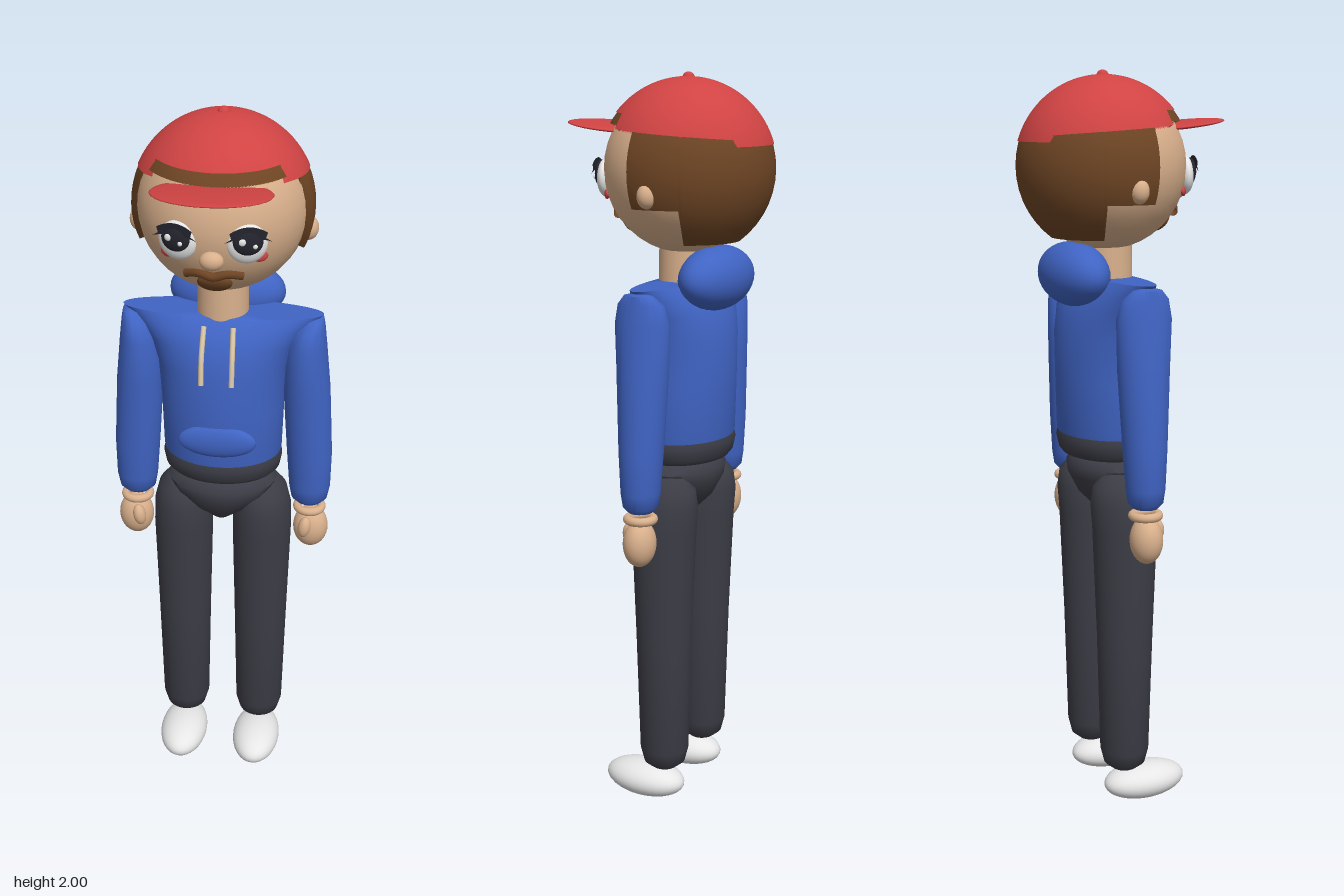
import * as THREE from 'three';
import { toCreasedNormals } from 'three/addons/utils/BufferGeometryUtils.js';

const mat = (name, color, side = THREE.FrontSide) => {
  const m = new THREE.MeshStandardMaterial({ color, side });
  m.name = name;
  return m;
};

// Closed body through elliptical sections [y, cx, cz, rx, rz], listed upwards
function loft(sections, seg = 32) {
  const pos = [], index = [];
  for (const [y, cx, cz, rx, rz] of sections)
    for (let i = 0; i < seg; i++) {
      const a = (i / seg) * Math.PI * 2;
      pos.push(cx + rx * Math.cos(a), y, cz + rz * Math.sin(a));
    }
  for (let s = 0; s < sections.length - 1; s++)
    for (let i = 0; i < seg; i++) {
      const j = (i + 1) % seg, a = s * seg, b = a + seg;
      index.push(a + i, b + i, a + j, a + j, b + i, b + j);
    }
  const g = new THREE.BufferGeometry();
  g.setAttribute('position', new THREE.Float32BufferAttribute(pos, 3));
  g.setIndex(index);
  return toCreasedNormals(g, 0.9);
}

// Dome whose lower edge height depends on the angle from the front (0..PI)
function dome(r, cy, edge) {
  const rows = 20, g = new THREE.SphereGeometry(r, 144, rows);
  const p = g.attributes.position, n = g.attributes.normal, uv = g.attributes.uv;
  for (let i = 0; i < p.count; i++) {
    const phi = uv.getX(i) * Math.PI * 2, v = 1 - uv.getY(i);
    let away = Math.abs(phi - Math.PI / 2);
    if (away > Math.PI) away = 2 * Math.PI - away;
    const theta = Math.min(1, (v * rows) / (rows - 1)) * Math.acos((edge(away) - cy) / r);
    const d = [-Math.cos(phi) * Math.sin(theta), Math.cos(theta), Math.sin(phi) * Math.sin(theta)];
    const rad = v > 0.999 ? r - 0.018 : r; // last row turns in to form the rim
    p.setXYZ(i, d[0] * rad, d[1] * rad, d[2] * rad);
    n.setXYZ(i, ...d);
  }
  return g;
}

export function createModel() {
  const model = new THREE.Group();
  model.name = 'figure';
  const red = mat('red', 0xd04343, THREE.DoubleSide);
  const blue = mat('blue', 0x4064c4);
  const charcoal = mat('charcoal', 0x3c3c46);
  const skin = mat('skin', 0xd9b08c);
  const brown = mat('brown', 0x6e4524, THREE.DoubleSide);
  const white = mat('white', 0xe6e6e6);
  const black = mat('eye black', 0x24242e, THREE.DoubleSide);
  const cream = mat('cream', 0xdcc8a8);

  const add = (name, geo, material, parent = model) => {
    const m = new THREE.Mesh(geo, material);
    m.name = name;
    parent.add(m);
    return m;
  };
  const ball = (name, material, [x, y, z], [rx, ry, rz], parent = model) => {
    const m = add(name, new THREE.SphereGeometry(1, 32, 20), material, parent);
    m.position.set(x, y, z);
    m.scale.set(rx, ry, rz);
    return m;
  };
  const tube = (name, material, points, r, parent = model) =>
    add(name, new THREE.TubeGeometry(
      new THREE.CatmullRomCurve3(points.map(p => new THREE.Vector3(...p))), 20, r, 10), material, parent);

  // Head, neck and nose
  const HY = 1.755, HZ = -0.053;
  ball('head', skin, [0, HY, HZ], [0.217, 0.217, 0.217]);
  const neck = add('neck', new THREE.CylinderGeometry(0.066, 0.068, 0.16, 32), skin);
  neck.position.set(0, 1.5, -0.045);
  ball('nose', skin, [0, 1.69, 0.162], [0.03, 0.024, 0.022]);

  // Hair: high over the face, sideburns, long at the back
  const hair = add('hair', dome(0.231, HY, a => (a < 1.33 ? 1.872 : a < 1.98 ? 1.665 : 1.572)), brown);
  hair.position.set(0, HY, HZ);

  // Cap with visor and button
  const cap = add('cap', dome(0.234, HY, a =>
    a < 0.98 ? 1.9 : a < 2.62 ? 1.862 - 0.015 * (a - 0.98) : 1.82), red);
  cap.position.set(0, HY, HZ);
  ball('capButton', red, [0, 1.985, -0.056], [0.016, 0.015, 0.016]);
  const visor = ball('visor', red, [0, 1.86, 0.158], [0.148, 0.01, 0.125]);
  visor.rotation.x = -0.12;

  // Moustache and chin beard
  tube('moustache', brown,
    [[-0.07, 1.637, 0.116], [-0.035, 1.646, 0.133], [0, 1.637, 0.135], [0.035, 1.646, 0.133], [0.07, 1.637, 0.116]], 0.012);
  const beard = ball('chinBeard', brown, [0, 1.61, 0.107], [0.044, 0.034, 0.018]);
  beard.rotation.x = 0.72;

  // Lash band: a crescent with pointed corners
  const lash = new THREE.Shape();
  lash.moveTo(-0.058, 0.012);
  lash.lineTo(-0.042, 0.022);
  lash.lineTo(-0.046, 0.036);
  lash.quadraticCurveTo(0, 0.066, 0.046, 0.036);
  lash.lineTo(0.042, 0.022);
  lash.lineTo(0.058, 0.012);
  lash.quadraticCurveTo(0, 0.032, -0.058, 0.012);

  for (const s of [1, -1]) {
    const side = s > 0 ? 'left' : 'right';

    // Eye
    const eye = new THREE.Group();
    eye.name = side + 'Eye';
    eye.position.set(s * 0.084, 1.732, 0.142);
    eye.rotation.y = s * 0.25;
    model.add(eye);
    ball('eyeWhite', white, [0, 0, 0], [0.05, 0.05, 0.022], eye);
    ball('iris', black, [0, 0.01, 0.014], [0.037, 0.035, 0.014], eye);
    add('lashes', new THREE.ShapeGeometry(lash), black, eye).position.z = 0.023;
    ball('glint', white, [-0.015, 0.014, 0.026], [0.009, 0.009, 0.004], eye);
    ball('smallGlint', white, [0.016, 0.002, 0.026], [0.006, 0.006, 0.004], eye);

    const cheek = ball(side + 'Cheek', red, [s * 0.115, 1.692, 0.122], [0.02, 0.013, 0.007]);
    cheek.rotation.y = s * 0.6;
    ball(side + 'Ear', skin, [s * 0.215, 1.7, -0.055], [0.026, 0.032, 0.025]);

    // Sleeve
    add(side + 'Sleeve', loft([
      [0.883, s * 0.243, -0.05, 0, 0],
      [0.888, s * 0.243, -0.05, 0.035, 0.032],
      [0.903, s * 0.243, -0.05, 0.05, 0.046],
      [0.94, s * 0.243, -0.05, 0.057, 0.051],
      [1.05, s * 0.239, -0.05, 0.062, 0.058],
      [1.25, s * 0.226, -0.048, 0.063, 0.069],
      [1.38, s * 0.222, -0.045, 0.053, 0.075],
      [1.43, s * 0.229, -0.045, 0.04, 0.064],
      [1.455, s * 0.24, -0.045, 0.025, 0.04],
      [1.465, s * 0.247, -0.045, 0, 0],
    ]), blue);

    // Wrist ring, hand and thumb
    const wrist = add(side + 'Wrist', new THREE.TorusGeometry(0.034, 0.012, 12, 32), skin);
    wrist.rotation.x = Math.PI / 2;
    wrist.position.set(s * 0.245, 0.868, -0.05);
    ball(side + 'Hand', skin, [s * 0.25, 0.802, -0.05], [0.049, 0.064, 0.043]);
    const thumb = ball(side + 'Thumb', skin, [s * 0.235, 0.818, -0.012], [0.018, 0.032, 0.02]);
    thumb.rotation.z = -s * 0.15;

    // Trouser leg and shoe
    const x = s * 0.112;
    add(side + 'Leg', loft([
      [0.098, x, -0.047, 0, 0],
      [0.102, x, -0.047, 0.035, 0.035],
      [0.12, x, -0.047, 0.058, 0.057],
      [0.16, x, -0.047, 0.069, 0.067],
      [0.5, x, -0.046, 0.076, 0.077],
      [0.8, x, -0.046, 0.083, 0.089],
      [0.87, x, -0.048, 0.081, 0.093],
      [0.92, x, -0.05, 0.068, 0.085],
      [0.952, x, -0.052, 0.042, 0.055],
      [0.963, x, -0.052, 0, 0],
    ]), charcoal);
    ball(side + 'Shoe', white, [x, 0.05, 0.015], [0.07, 0.05, 0.12]);

    // Drawstring
    tube(side + 'Drawstring', cream,
      [[s * 0.038, 1.455, 0.042], [s * 0.04, 1.38, 0.076], [s * 0.04, 1.308, 0.09]], 0.007);
  }

  // Hooded top
  add('torso', loft([
    [1.02, 0, -0.05, 0, 0],
    [1.02, 0, -0.05, 0.152, 0.118],
    [1.06, 0, -0.05, 0.162, 0.127],
    [1.2, 0, -0.05, 0.166, 0.13],
    [1.32, 0, -0.05, 0.174, 0.13],
    [1.39, 0, -0.048, 0.198, 0.115],
    [1.435, 0, -0.046, 0.23, 0.092],
    [1.467, 0, -0.045, 0.264, 0.062],
    [1.467, 0, -0.045, 0, 0],
  ], 48), blue);
  ball('hood', blue, [0, 1.478, -0.142], [0.155, 0.085, 0.08]);
  ball('pocket', blue, [0, 1.13, 0.07], [0.105, 0.048, 0.022]);

  // Waistband and hips
  add('waistband', loft([
    [0.99, 0, -0.05, 0, 0],
    [0.99, 0, -0.05, 0.146, 0.112],
    [1.003, 0, -0.05, 0.158, 0.122],
    [1.035, 0, -0.05, 0.164, 0.129],
    [1.05, 0, -0.05, 0.16, 0.125],
    [1.05, 0, -0.05, 0, 0],
  ], 48), charcoal);
  add('hips', loft([
    [0.83, 0, -0.04, 0, 0],
    [0.84, 0, -0.04, 0.03, 0.045],
    [0.88, 0, -0.04, 0.085, 0.085],
    [0.93, 0, -0.04, 0.138, 0.108],
    [0.96, 0, -0.04, 0.15, 0.11],
    [0.98, 0, -0.04, 0.135, 0.095],
    [0.988, 0, -0.04, 0, 0],
  ], 40), charcoal);

  return model;
}
